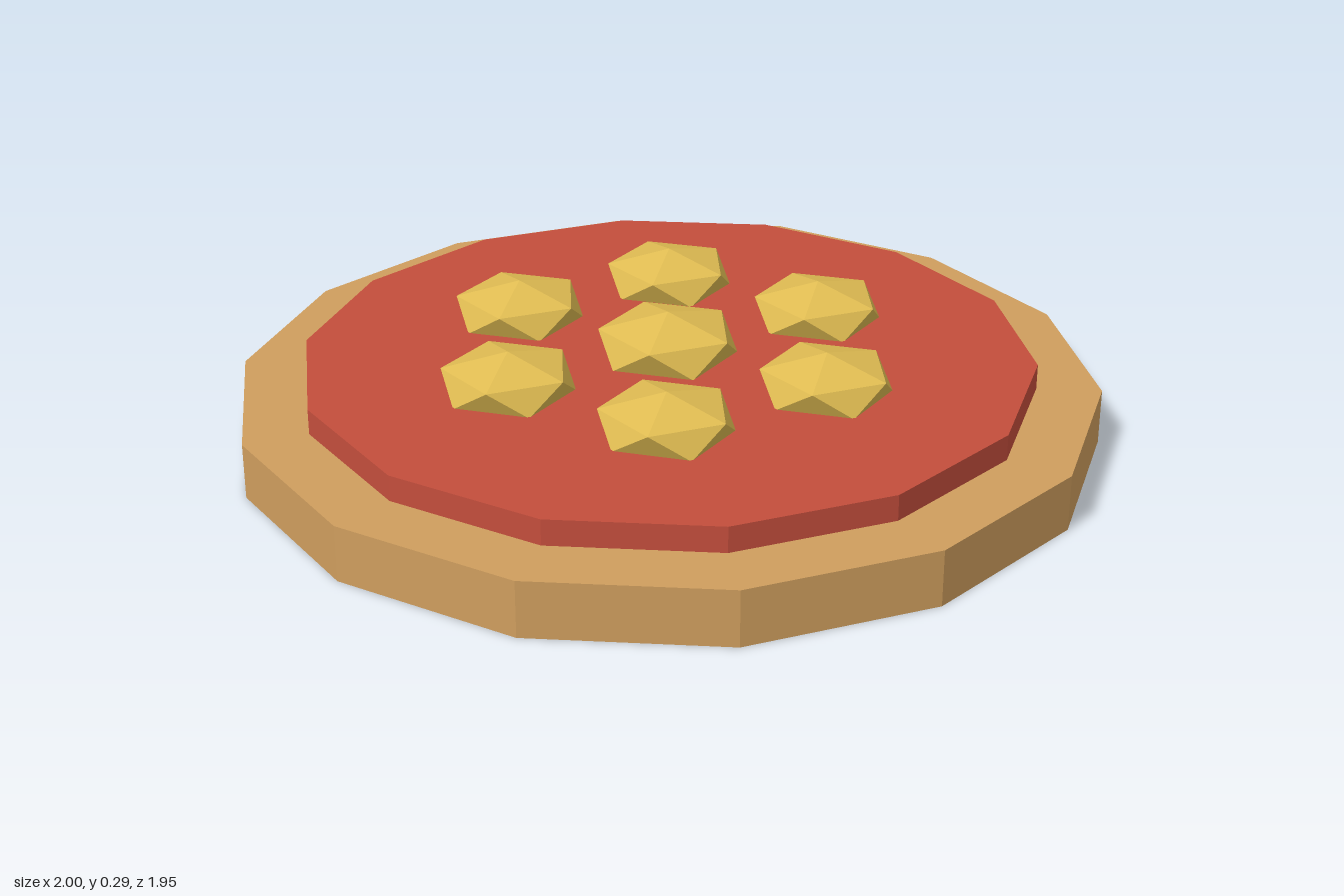
import * as THREE from 'three';

const SIDES = 14;

function material(name, color) {
  const m = new THREE.MeshStandardMaterial({ color, flatShading: true });
  m.name = name;
  return m;
}

// Faceted disc with a corner on the x axis, standing on y = bottom
function disc(name, radius, bottom, height, mat) {
  const geo = new THREE.CylinderGeometry(radius, radius, height, SIDES);
  geo.rotateY(Math.PI / 2);
  geo.translate(0, bottom + height / 2, 0);
  const mesh = new THREE.Mesh(geo, mat);
  mesh.name = name;
  return mesh;
}

// Flattened icosahedron with one corner pointing straight up
function chunk(name, radius, x, y, z, mat) {
  const geo = new THREE.IcosahedronGeometry(radius, 0);
  geo.rotateZ(Math.atan(2 / (1 + Math.sqrt(5))));
  geo.rotateY(Math.PI - 0.05);
  geo.scale(1, 0.4, 1);
  const mesh = new THREE.Mesh(geo, mat);
  mesh.name = name;
  mesh.position.set(x, y, z);
  return mesh;
}

export function createModel() {
  const model = new THREE.Group();
  model.name = 'pizza';

  const crust = material('crust brown', 0xcf9e5e);
  const sauce = material('sauce red', 0xc34e3c);
  const cheese = material('cheese yellow', 0xe0bc52);

  // Base and sauce layer
  model.add(disc('crust', 1, 0, 0.13, crust));
  model.add(disc('sauce', 0.85, 0.13, 0.06, sauce));

  // One chunk in the middle and six around it
  model.add(chunk('centreTopping', 0.18, 0, 0.221, 0, cheese));
  for (let i = 0; i < 6; i++) {
    const a = (i * Math.PI) / 3;
    model.add(chunk('topping' + (i + 1), 0.168, 0.41 * Math.cos(a), 0.217, 0.41 * Math.sin(a), cheese));
  }
  return model;
}
